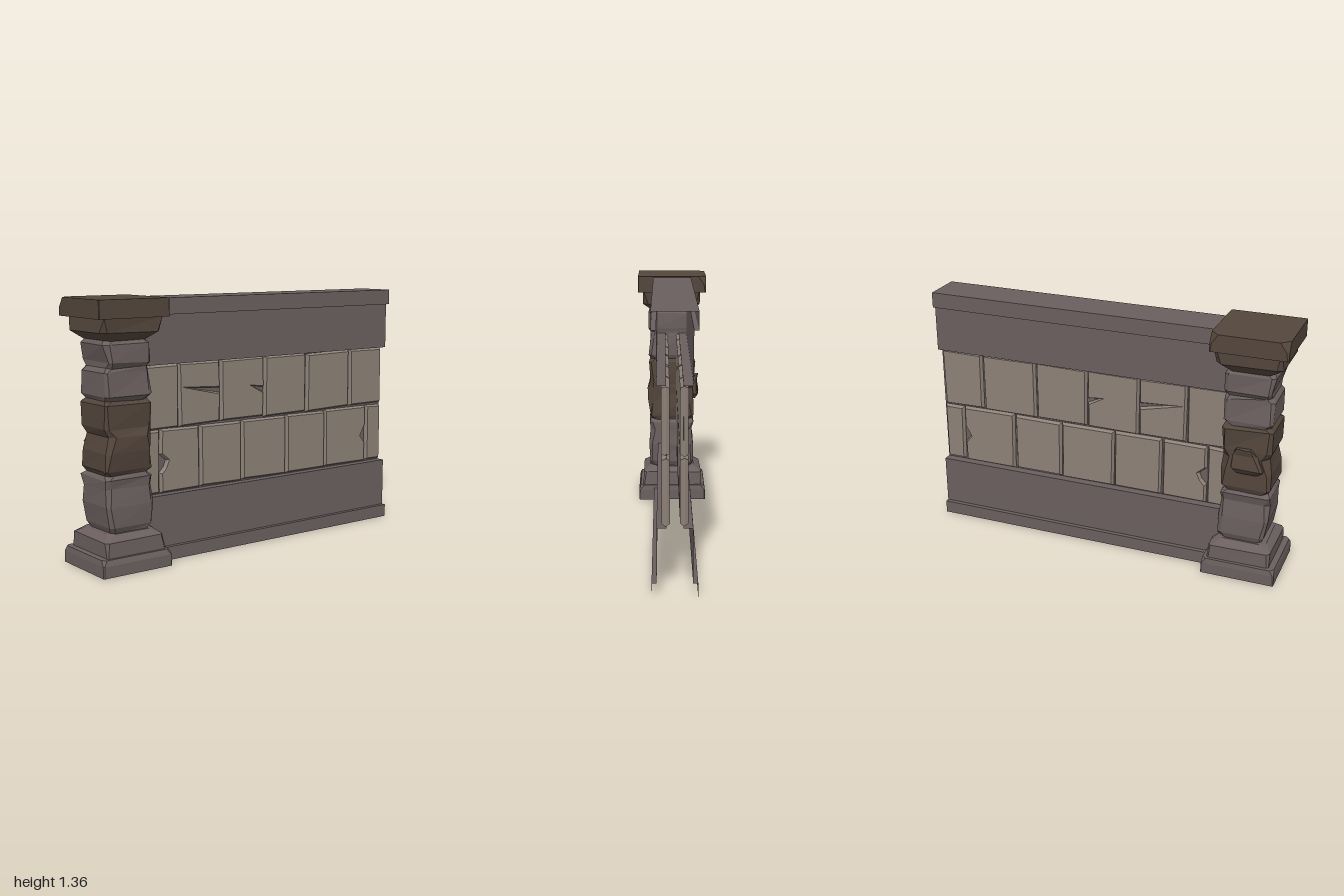
import * as THREE from 'three';

const mat = (color) => new THREE.MeshStandardMaterial({ color, flatShading: true, roughness: 1, side: THREE.DoubleSide });
const GREY = mat(0x6b5f5f), BROWN = mat(0x54463c), TILE = mat(0x8d8178);

// Small seeded generator for the chiselled irregularity
let seed = 7;
const rand = () => ((seed = (seed * 16807) % 2147483647) / 2147483647) - 0.5;

function meshFrom(name, positions, index, material) {
  const g = new THREE.BufferGeometry();
  g.setAttribute('position', new THREE.Float32BufferAttribute(positions, 3));
  g.setIndex(index);
  const flat = g.toNonIndexed();
  flat.computeVertexNormals();
  const m = new THREE.Mesh(flat, material);
  m.name = name;
  return m;
}

// Stone lofted through chamfered rectangles: [y, x0, x1, z0, z1, front chamfer, back chamfer]
function stone(name, rings, material, jitter = 0) {
  const pos = [], idx = [], n = 8;
  rings.forEach(([y, x0, x1, z0, z1, f, b = f]) => {
    const outline = [
      [x1, z0 + b], [x1, z1 - f], [x1 - f, z1], [x0 + f, z1],
      [x0, z1 - f], [x0, z0 + b], [x0 + b, z0], [x1 - b, z0],
    ];
    for (const [x, z] of outline) pos.push(x + rand() * jitter, y + rand() * jitter * 0.7, z + rand() * jitter);
  });
  for (let r = 0; r < rings.length - 1; r++) {
    for (let i = 0; i < n; i++) {
      const a = r * n + i, b = r * n + (i + 1) % n;
      idx.push(a, a + n, b, b, a + n, b + n);
    }
  }
  const top = (rings.length - 1) * n;
  for (let i = 1; i < n - 1; i++) {
    idx.push(0, i, i + 1);
    idx.push(top, top + i + 1, top + i);
  }
  return meshFrom(name, pos, idx, material);
}

// Half of the hollow wall shell, a stepped profile (z, y) swept along x
function wallShell() {
  const profile = [
    [0, 1.352], [0.11, 1.352], [0.11, 1.268], [0.086, 1.268], [0.086, 1.015], [0.04, 1.015],
    [0.04, 0.34], [0.086, 0.34], [0.086, 0.07], [0.11, 0.07], [0.11, 0],
  ];
  const pos = [], idx = [];
  profile.forEach(([z, y], i) => {
    pos.push(-0.72, y, z, 0.995, y, z);
    if (i) {
      const a = 2 * i - 2;
      idx.push(a, a + 2, a + 1, a + 1, a + 2, a + 3);
    }
  });
  return meshFrom('wallShell', pos, idx, GREY);
}

// Bevelled tile; notches are corner lists inserted in the right or left side
function tile(x0, x1, y0, y1, right = [], left = []) {
  const s = () => rand() * 0.008;
  const pts = [
    [x0 + s(), y0 + s()], [x1 + s(), y0 + s()], ...right,
    [x1 + s(), y1 + s()], [x0 + s(), y1 + s()], ...left,
  ];
  const shape = new THREE.Shape(pts.map(([x, y]) => new THREE.Vector2(x, y)));
  const g = new THREE.ExtrudeGeometry(shape, {
    depth: 0.007, bevelEnabled: true, bevelSegments: 1,
    bevelThickness: 0.016, bevelSize: 0.009, bevelOffset: -0.009,
  });
  g.translate(0, 0, 0.04);
  const m = new THREE.Mesh(g, TILE);
  m.name = 'tile';
  return m;
}

function wallSide(name) {
  const side = new THREE.Group();
  side.name = name;
  side.add(wallShell());
  // Two staggered courses with a few cracks and chips
  const courses = [
    {
      y0: 0.683, y1: 1.01, xs: [-0.7, -0.455, -0.188, 0.108, 0.41, 0.738, 0.988],
      right: {
        1: [[-0.19, 0.84], [-0.42, 0.885], [-0.19, 0.865]],
        2: [[0.106, 0.82], [0.02, 0.86], [0.106, 0.845]],
      },
      left: {},
    },
    {
      y0: 0.347, y1: 0.675, xs: [-0.7, -0.575, -0.323, -0.048, 0.265, 0.552, 0.87, 0.988],
      right: { 5: [[0.868, 0.46], [0.835, 0.5], [0.85, 0.53], [0.868, 0.56]] },
      left: { 1: [[-0.572, 0.55], [-0.53, 0.515], [-0.545, 0.48], [-0.572, 0.45]] },
    },
  ];
  for (const { y0, y1, xs, right, left } of courses) {
    for (let i = 0; i < xs.length - 1; i++) {
      side.add(tile(xs[i] + 0.004, xs[i + 1] - 0.004, y0, y1, right[i], left[i]));
    }
  }
  return side;
}

function pillar() {
  const p = new THREE.Group();
  p.name = 'pillar';
  p.add(
    stone('plinth', [
      [0, -1, -0.6, -0.2, 0.2, 0.004],
      [0.06, -1, -0.6, -0.2, 0.2, 0.006],
      [0.088, -0.995, -0.605, -0.195, 0.19, 0.02],
    ], GREY),
    stone('plinthStep', [
      [0.08, -0.965, -0.622, -0.178, 0.178, 0.01],
      [0.165, -0.96, -0.63, -0.174, 0.168, 0.015],
      [0.195, -0.925, -0.665, -0.13, 0.13, 0.03],
    ], GREY, 0.008),
    stone('lowerBlock', [
      [0.18, -0.9, -0.685, -0.115, 0.115, 0.03],
      [0.225, -0.91, -0.668, -0.13, 0.135, 0.02],
      [0.33, -0.932, -0.666, -0.13, 0.135, 0.02],
      [0.42, -0.935, -0.668, -0.115, 0.132, 0.025],
      [0.465, -0.935, -0.67, -0.135, 0.13, 0.015],
      [0.488, -0.92, -0.68, -0.12, 0.12, 0.03],
    ], GREY, 0.012),
    stone('middleBlock', [
      [0.485, -0.92, -0.68, -0.118, 0.12, 0.03],
      [0.51, -0.937, -0.668, -0.132, 0.134, 0.015],
      [0.6, -0.935, -0.668, -0.132, 0.142, 0.025],
      [0.68, -0.915, -0.672, -0.125, 0.146, 0.035],
      [0.72, -0.932, -0.667, -0.132, 0.132, 0.02],
      [0.84, -0.935, -0.665, -0.135, 0.136, 0.015],
      [0.858, -0.915, -0.68, -0.12, 0.12, 0.03],
    ], BROWN, 0.012),
    stone('brokenLump', [
      [0.6, -0.87, -0.75, -0.135, -0.09, 0.01],
      [0.63, -0.89, -0.72, -0.16, -0.09, 0.012],
      [0.7, -0.86, -0.73, -0.15, -0.09, 0.012],
      [0.738, -0.83, -0.75, -0.163, -0.09, 0.01],
    ], BROWN, 0.016),
    stone('upperBlock', [
      [0.855, -0.915, -0.68, -0.12, 0.12, 0.03],
      [0.88, -0.925, -0.668, -0.132, 0.138, 0.015],
      [1.0, -0.932, -0.668, -0.125, 0.13, 0.02],
      [1.02, -0.915, -0.672, -0.115, 0.124, 0.025],
      [1.045, -0.91, -0.668, -0.132, 0.138, 0.015],
      [1.135, -0.93, -0.668, -0.13, 0.135, 0.02],
      [1.16, -0.915, -0.68, -0.115, 0.118, 0.03],
    ], GREY, 0.012),
    stone('capStep', [
      [1.15, -0.92, -0.675, -0.125, 0.122, 0.03],
      [1.195, -0.966, -0.625, -0.168, 0.168, 0.025],
      [1.268, -0.965, -0.62, -0.168, 0.174, 0.01],
    ], BROWN, 0.01),
    stone('cap', [
      [1.265, -1, -0.6, -0.2, 0.2, 0.003, 0.006],
      [1.31, -1, -0.6, -0.2, 0.2, 0.003, 0.012],
      [1.358, -1, -0.6, -0.2, 0.2, 0.003, 0.045],
    ], BROWN),
  );
  return p;
}

export function createModel() {
  const model = new THREE.Group();
  model.name = 'wallWithPillar';
  // The back of the wall mirrors the front
  const back = wallSide('wallBack');
  back.scale.z = -1;
  model.add(wallSide('wallFront'), back, pillar());
  return model;
}
